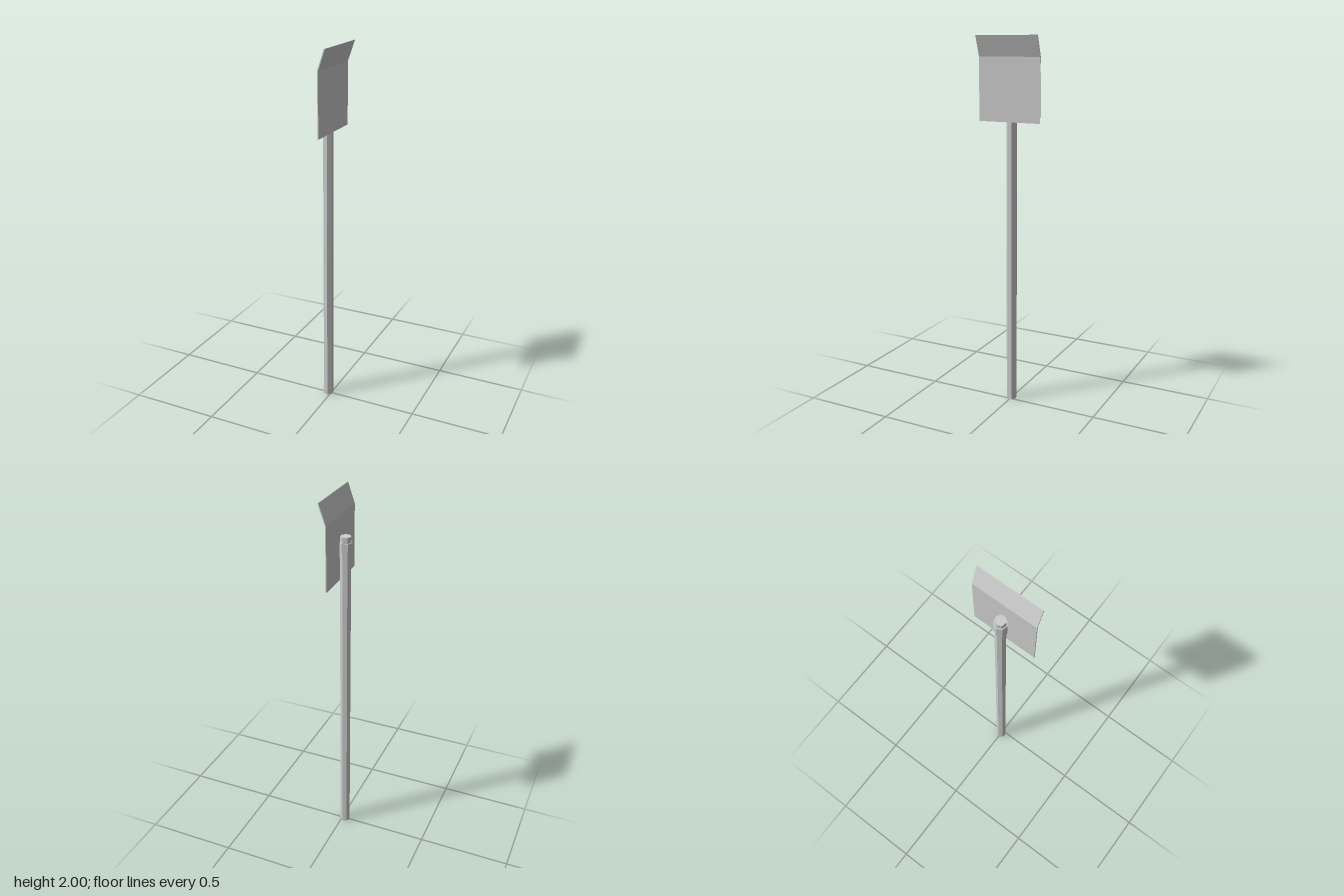
import * as THREE from 'three';

export function createModel() {
  const model = new THREE.Group();
  const material = new THREE.MeshStandardMaterial({ color: 0xcccccc, flatShading: true });

  const add = (name, geometry) => {
    const mesh = new THREE.Mesh(geometry, material);
    mesh.name = name;
    model.add(mesh);
    return mesh;
  };

  // Seven-sided rod with one corner pointing towards -x
  const rod = (name, radius, bottom, top) => {
    const geometry = new THREE.CylinderGeometry(radius, radius, top - bottom, 7);
    geometry.rotateY(-Math.PI / 2);
    add(name, geometry).position.set(-0.018, (bottom + top) / 2, 0);
  };
  rod('pole', 0.0285, 0, 1.79);
  rod('collar', 0.034, 1.68, 1.76);

  // Thin plate, bent outwards near its top: side profile extruded along z
  const width = 0.35;
  const profile = new THREE.Shape([
    [0.008, 1.56], [0.013, 1.56], [0.013, 1.893], [0.05, 2], [0.044, 2], [0.008, 1.895],
  ].map(([x, y]) => new THREE.Vector2(x, y)));
  const plate = new THREE.ExtrudeGeometry(profile, { depth: width, bevelEnabled: false });
  plate.translate(0, 0, -width / 2);
  add('bentPlate', plate);

  return model;
}
